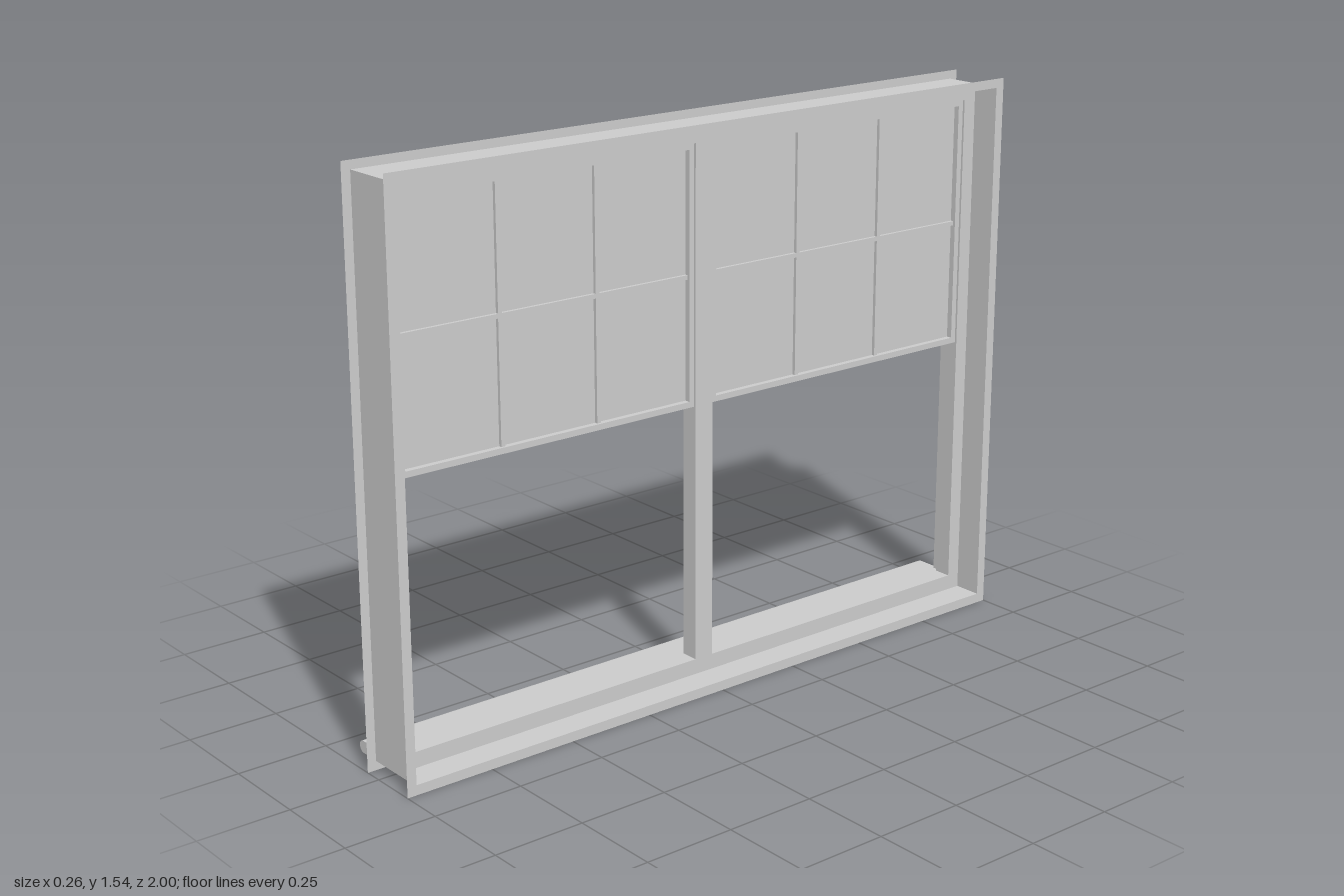
import * as THREE from 'three';

const material = new THREE.MeshStandardMaterial({ color: 0xcccccc, side: THREE.DoubleSide, flatShading: true });

// Rectangle outline in the window plane (u runs along -z, v is up)
function trace(path, [u0, v0, u1, v1]) {
  path.moveTo(u0, v0);
  path.lineTo(u1, v0);
  path.lineTo(u1, v1);
  path.lineTo(u0, v1);
  path.closePath();
  return path;
}

// Rectangle with rectangular holes, extruded from x0 to x1 (a flat sheet if they are equal)
function panel(parent, name, outer, holes, x0, x1) {
  const shape = trace(new THREE.Shape(), outer);
  for (const hole of holes) shape.holes.push(trace(new THREE.Path(), hole));
  const geometry = x1 > x0
    ? new THREE.ExtrudeGeometry(shape, { depth: x1 - x0, bevelEnabled: false })
    : new THREE.ShapeGeometry(shape);
  geometry.rotateY(Math.PI / 2);
  geometry.translate(x0, 0, 0);
  const mesh = new THREE.Mesh(geometry, material);
  mesh.name = name;
  parent.add(mesh);
  return mesh;
}

const inset = ([u0, v0, u1, v1], d) => [u0 + d, v0 + d, u1 - d, v1 - d];

// Six-light sash: border, recessed pane and glazing bars
function makeSash(u0, u1) {
  const sash = new THREE.Group();
  sash.name = 'sash';
  const outer = [u0, 0.78, u1, 1.475];
  const pane = inset(outer, 0.016);
  const [p0, q0, p1, q1] = pane;
  panel(sash, 'sashBorder', outer, [pane], 0.006, 0.044);
  panel(sash, 'glassPane', pane, [], 0.022, 0.028);

  // Glazing bars: the gaps between a 3 by 2 grid of lights
  const bar = 0.012, lights = [];
  const w = (p1 - p0 - 2 * bar) / 3, h = (q1 - q0 - bar) / 2;
  for (let i = 0; i < 3; i++) {
    for (let j = 0; j < 2; j++) {
      const u = p0 + i * (w + bar), v = q0 + j * (h + bar);
      lights.push([u, v, u + w, v + h]);
    }
  }
  for (let i = 1; i < 3; i++) {
    const u = p0 + i * w + (i - 1) * bar;
    panel(sash, 'verticalGlazingBar', [u, q0, u + bar, q1], [], 0.013, 0.037);
  }
  for (const [a, , b] of lights.filter((_, k) => k % 2 === 0)) {
    panel(sash, 'crossGlazingBar', [a, q0 + h, b, q0 + h + bar], [], 0.013, 0.037);
  }
  return sash;
}

export function createModel() {
  const model = new THREE.Group();
  model.name = 'window';

  // Thin lining box with a flat flange on each side of the wall
  const lining = [-0.975, 0.025, 0.975, 1.517];
  panel(model, 'lining', lining, [inset(lining, 0.002)], -0.05, 0.13);
  for (const x of [-0.05, 0.13]) panel(model, 'flange', [-1, 0, 1, 1.54], [lining], x, x);

  // Main frame with central mullion
  const openings = [[-0.933, 0.07, -0.029, 1.475], [0.029, 0.07, 0.933, 1.475]];
  panel(model, 'frame', inset(lining, 0.002), openings, 0, 0.05);

  // Raised sashes, lower half left open
  for (const [u0, , u1] of openings) model.add(makeSash(u0, u1));

  // Sill with rounded nose
  const r = 0.0165, y0 = 0.021;
  const profile = new THREE.Shape();
  profile.moveTo(0, y0);
  profile.lineTo(0, y0 + 2 * r);
  profile.lineTo(-0.132 + r, y0 + 2 * r);
  profile.absarc(-0.132 + r, y0 + r, r, Math.PI / 2, Math.PI * 1.5, false);
  profile.closePath();
  const sillGeometry = new THREE.ExtrudeGeometry(profile, { depth: 1.955, bevelEnabled: false, curveSegments: 8 });
  sillGeometry.translate(0, 0, -0.985);
  const sill = new THREE.Mesh(sillGeometry, material);
  sill.name = 'sill';
  model.add(sill);

  return model;
}
